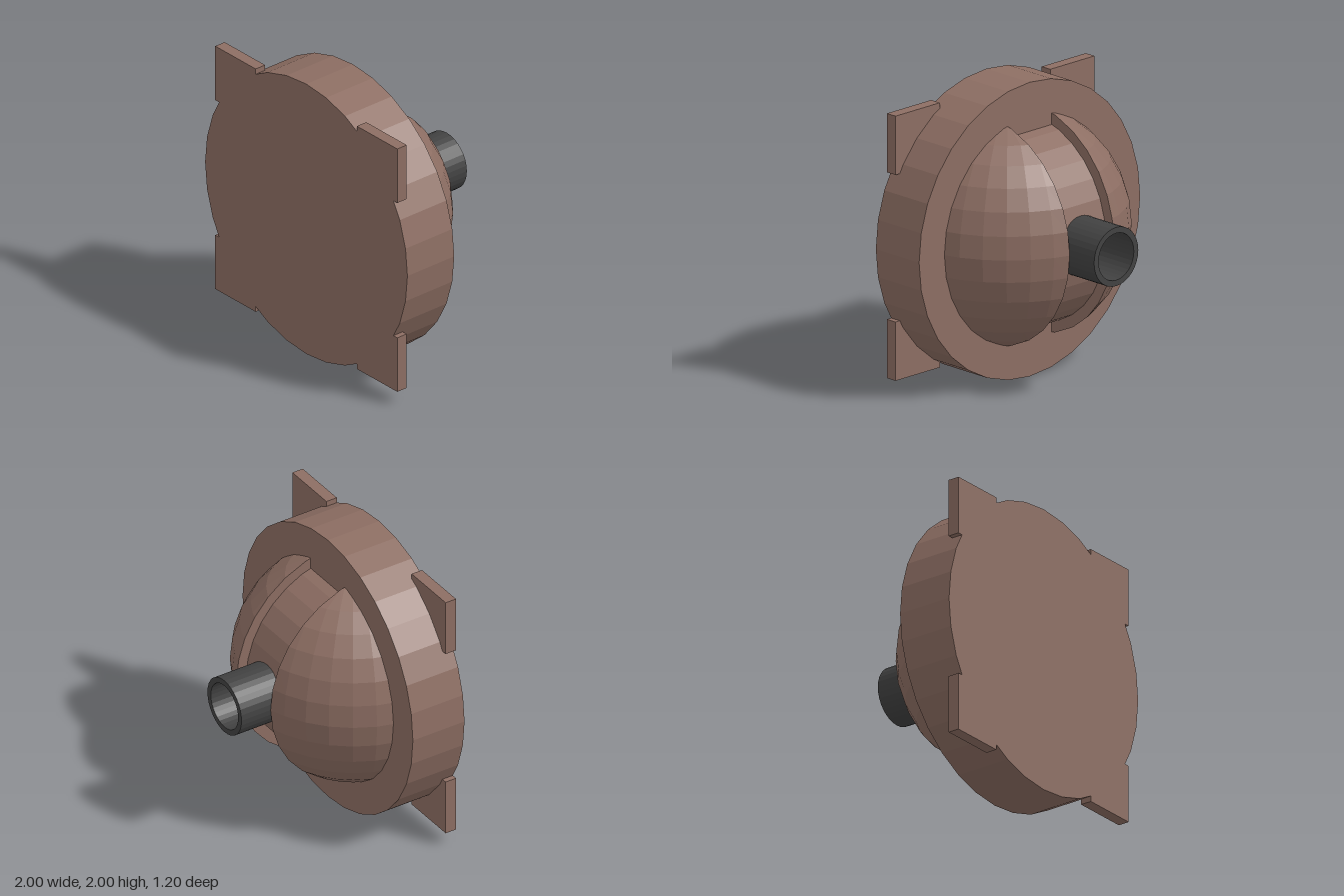
import * as THREE from 'three';

const SEG = 32;             // sides of every round part
const STEP = (2 * Math.PI) / SEG;
const R = 0.8;              // dome radius
const GAP = 0.2;            // half width of the channel between the dome halves
const DOME_Z = 0.4;         // dome centre, buried in the disc

const bodyMat = new THREE.MeshStandardMaterial({ color: 0x8d6e63, flatShading: true });
const tubeMat = new THREE.MeshStandardMaterial({ color: 0x424242, flatShading: true });

// One half of the dome: latitude rows of a sphere cut at x = GAP, with the flat cut wall
function domeHalfGeometry() {
  const yTop = Math.sqrt(R * R - GAP * GAP);
  const heights = [yTop];
  for (let k = 2; k <= SEG / 2 - 2; k++) heights.push(R * Math.cos(k * STEP));
  heights.push(-yTop);

  const cols = SEG / 4 + 2;
  const pos = [];
  const index = [];
  heights.forEach((y, i) => {
    const r = Math.sqrt(R * R - y * y);
    const limit = Math.acos(Math.min(1, GAP / r));
    pos.push(GAP, y, DOME_Z); // inner edge of the cut wall
    for (let j = 0; j <= SEG / 4; j++) {
      const phi = Math.min(limit, Math.PI / 2 - j * STEP);
      pos.push(r * Math.cos(phi), y, DOME_Z - r * Math.sin(phi));
    }
    if (i === 0) return;
    for (let j = 0; j < cols - 1; j++) {
      const a = (i - 1) * cols + j;
      const c = i * cols + j;
      index.push(a, a + 1, c, a + 1, c + 1, c);
    }
  });
  const geo = new THREE.BufferGeometry();
  geo.setAttribute('position', new THREE.Float32BufferAttribute(pos, 3));
  geo.setIndex(index);
  geo.computeVertexNormals();
  return geo;
}

export function createModel() {
  const model = new THREE.Group();
  model.name = 'domedHousing';
  const add = (name, geo, mat, x, y, z) => {
    const mesh = new THREE.Mesh(geo, mat);
    mesh.name = name;
    mesh.position.set(x, y, z);
    model.add(mesh);
    return mesh;
  };

  // Thick round base
  add('baseDisc', new THREE.CylinderGeometry(1, 1, 0.4, SEG).rotateX(Math.PI / 2), bodyMat, 0, 1, 0.4);

  // Four square mounting plates at the front corners
  const plate = new THREE.BoxGeometry(0.4, 0.4, 0.08);
  for (const [side, x] of [['left', 0.7], ['right', -0.7]]) {
    add(side + 'UpperPlate', plate, bodyMat, x, 1.7, 0.56);
    add(side + 'LowerPlate', plate, bodyMat, x, 0.3, 0.56);
  }

  // Two dome halves, the second turned half round
  const half = domeHalfGeometry();
  add('leftDomeHalf', half, bodyMat, 0, 1, 0);
  add('rightDomeHalf', half, bodyMat, 0, 1, 0).rotation.z = Math.PI;

  // Sunken curved floor of the channel between the halves
  const floor = new THREE.CylinderGeometry(0.7, 0.7, 2 * GAP, SEG / 2, 1, true, Math.PI / 2, Math.PI);
  add('channelFloor', floor.rotateZ(Math.PI / 2), bodyMat, 0, 1, DOME_Z);

  // Hollow pipe stub at the back
  const section = [[0.16, 0], [0.2, 0], [0.2, 0.4], [0.16, 0.4], [0.16, 0]];
  const pipe = new THREE.LatheGeometry(section.map(([r, h]) => new THREE.Vector2(r, h)), SEG);
  add('pipe', pipe.rotateX(-Math.PI / 2), tubeMat, 0, 1, -0.2);

  return model;
}
